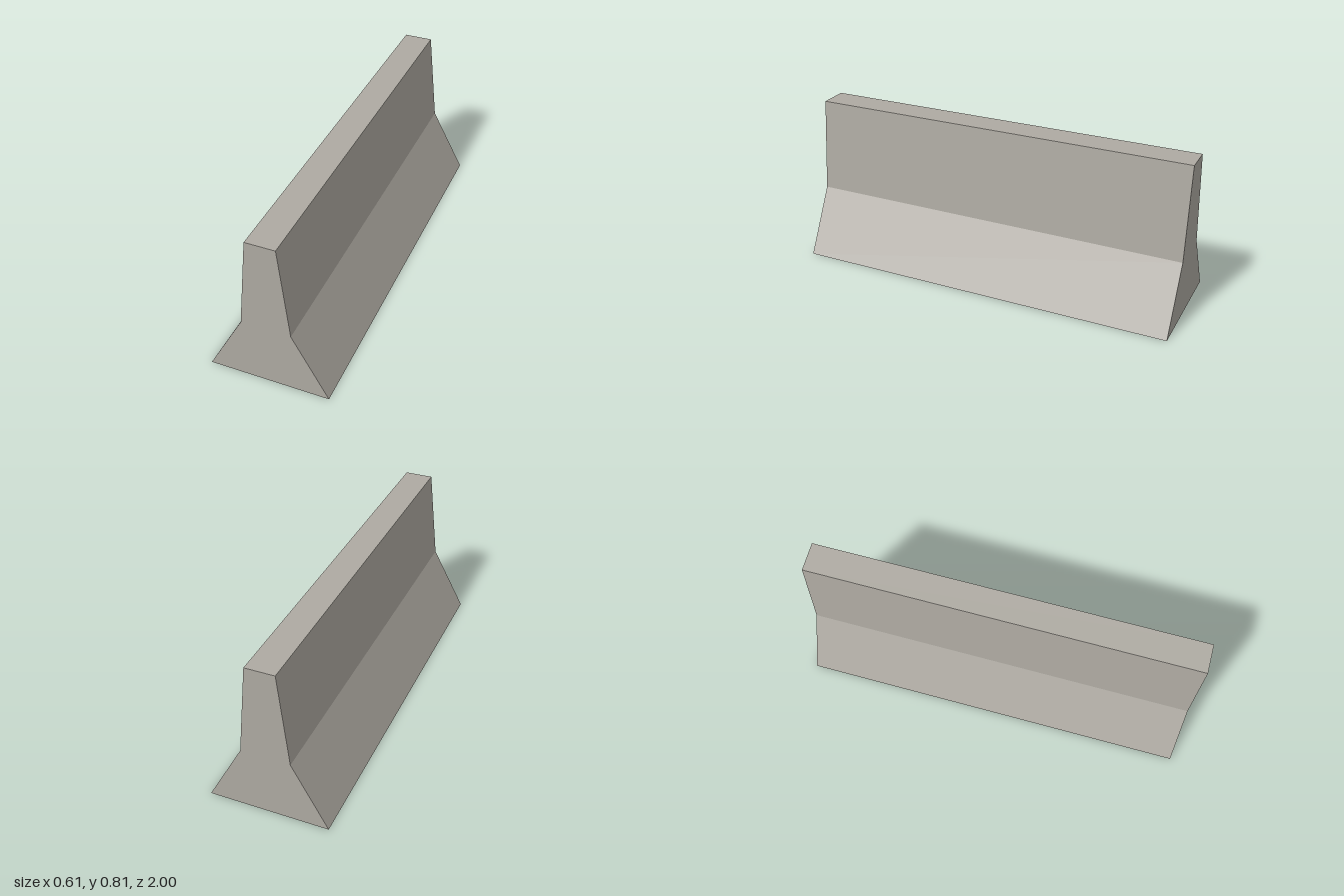
import * as THREE from 'three';

export function createModel() {
  const group = new THREE.Group();
  group.name = 'roadBarrier';
  // Double-sided, since the shell is hollow and open underneath
  const concrete = new THREE.MeshStandardMaterial({ color: 0xaeaaa2, side: THREE.DoubleSide });
  concrete.name = 'concrete';

  // Cross-section, from the right foot over the top to the left foot
  const half = [[0.303, 0], [0.124, 0.33], [0.074, 0.81]];
  const profile = [...half, ...half.map(([x, y]) => [-x, y]).reverse()];
  const names = ['leftFoot', 'leftWall', 'topFace', 'rightWall', 'rightFoot'];

  function add(geometry, name) {
    const mesh = new THREE.Mesh(geometry, concrete);
    mesh.name = name;
    group.add(mesh);
    return mesh;
  }

  // Long faces: one flat strip per profile edge, bottom left open
  names.forEach((name, i) => {
    const [ax, ay] = profile[i];
    const [bx, by] = profile[i + 1];
    const geometry = new THREE.BufferGeometry();
    geometry.setAttribute('position', new THREE.Float32BufferAttribute(
      [ax, ay, 1, ax, ay, -1, bx, by, -1, bx, by, 1], 3));
    geometry.setIndex([0, 1, 2, 0, 2, 3]);
    geometry.computeVertexNormals();
    add(geometry, name);
  });

  // End walls
  const shape = new THREE.Shape(profile.map(([x, y]) => new THREE.Vector2(x, y)));
  const end = new THREE.ShapeGeometry(shape);
  add(end, 'frontEnd').position.z = 1;
  const back = add(end, 'backEnd');
  back.position.z = -1;
  back.rotation.y = Math.PI;

  return group;
}
